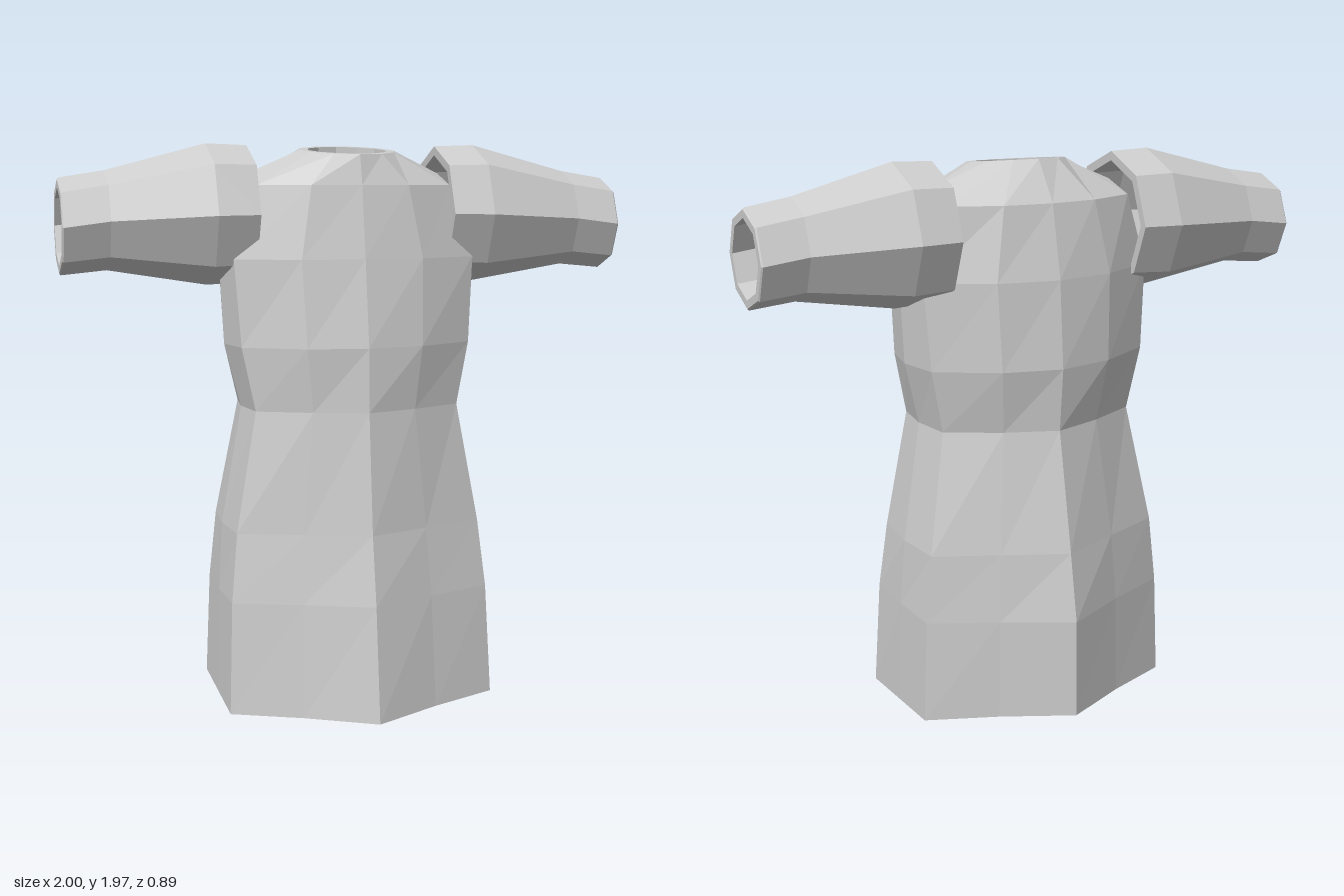
import * as THREE from 'three';

const cloth = new THREE.MeshStandardMaterial({ color: 0xcccccc, flatShading: true });
cloth.name = 'plain grey cloth';

// Skins a list of equal-length rings of [x, y, z] points
function loft(name, rings) {
  const n = rings[0].length, index = [];
  for (let i = 0; i < rings.length - 1; i++) {
    for (let j = 0; j < n; j++) {
      const a = i * n + j, b = i * n + (j + 1) % n;
      index.push(a, b, b + n, a, b + n, a + n);
    }
  }
  const g = new THREE.BufferGeometry();
  g.setAttribute('position', new THREE.Float32BufferAttribute(rings.flat(2), 3));
  g.setIndex(index);
  const flat = g.toNonIndexed();
  flat.computeVertexNormals();
  const mesh = new THREE.Mesh(flat, cloth);
  mesh.name = name;
  return mesh;
}

// Twelve-sided garment section: y, front centre z, front corner z, back corner z,
// back centre z, corner x, side x, fullness of the panel between centre and corner
function section([y, fz, fc, bc, bz, cx, sx, full]) {
  const half = [
    [cx * 0.5, y, fc + (fz - fc) * full],
    [cx, y, fc],
    [sx, y, (fc + bc) / 2],
    [cx, y, bc],
    [cx * 0.5, y, bc + (bz - bc) * full],
  ];
  const mirrored = half.map(([x, h, z]) => [-x, h, z]).reverse();
  return [[0, y, fz], ...half, [0, y, bz], ...mirrored];
}

// Round, slightly tilted neckline
function neckRing(r, drop) {
  return Array.from({ length: 12 }, (_, k) => {
    const a = (k / 12) * Math.PI * 2, dz = Math.cos(a) * r;
    return [Math.sin(a) * r, 1.95 - dz * 0.1 - drop, 0.02 + dz];
  });
}

function buildBody() {
  const rows = [
    [0.00, 0.45, 0.24, -0.21, -0.445, 0.48, 0.48, 0.45],
    [0.40, 0.40, 0.215, -0.207, -0.44, 0.465, 0.47, 0.46],
    [0.64, 0.355, 0.19, -0.20, -0.395, 0.44, 0.455, 0.5],
    [1.06, 0.31, 0.165, -0.145, -0.31, 0.365, 0.385, 0.6],
    [1.28, 0.305, 0.155, -0.16, -0.33, 0.41, 0.44, 0.72],
    [1.58, 0.26, 0.135, -0.145, -0.305, 0.43, 0.455, 0.76],
    [1.83, 0.217, 0.12, -0.16, -0.25, 0.345, 0.35, 0.8],
  ];
  const outer = rows.map(section);
  // The hem rises towards the back, the shoulder seam rises over the arm
  outer[0].forEach((p) => { p[1] = 0.025 - p[2] * 0.055; });
  outer[6][3][1] = outer[6][9][1] = 1.87;
  const inner = outer.map((ring) => ring.map(([x, y, z]) => [x * 0.93, y, z * 0.93]));
  inner[6].forEach((p) => { p[1] -= 0.03; });
  return loft('tunicBody', [
    ...outer, neckRing(0.17, 0), neckRing(0.14, 0), neckRing(0.14, 0.04),
    ...inner.reverse(), outer[0],
  ]);
}

// Eight-sided sleeve, outside then lining, joined at both ends
function buildSleeve(name, side) {
  const path = [
    [0.345, 1.73, 0.237], [0.49, 1.728, 0.244], [0.84, 1.71, 0.17], [0.995, 1.69, 0.165],
    [1.0, 1.69, 0.16], [1.0, 1.69, 0.132], [0.84, 1.71, 0.137], [0.49, 1.728, 0.21],
    [0.345, 1.73, 0.205], [0.345, 1.73, 0.237],
  ];
  const rings = path.map(([x, y, r]) => Array.from({ length: 8 }, (_, k) => {
    const a = (k / 8) * Math.PI * 2;
    return [x * side, y + Math.cos(a) * r, -0.045 + Math.sin(a) * r];
  }));
  return loft(name, side > 0 ? rings : rings.reverse());
}

export function createModel() {
  const group = new THREE.Group();
  group.name = 'tunic';
  group.add(buildBody(), buildSleeve('leftSleeve', 1), buildSleeve('rightSleeve', -1));
  return group;
}
